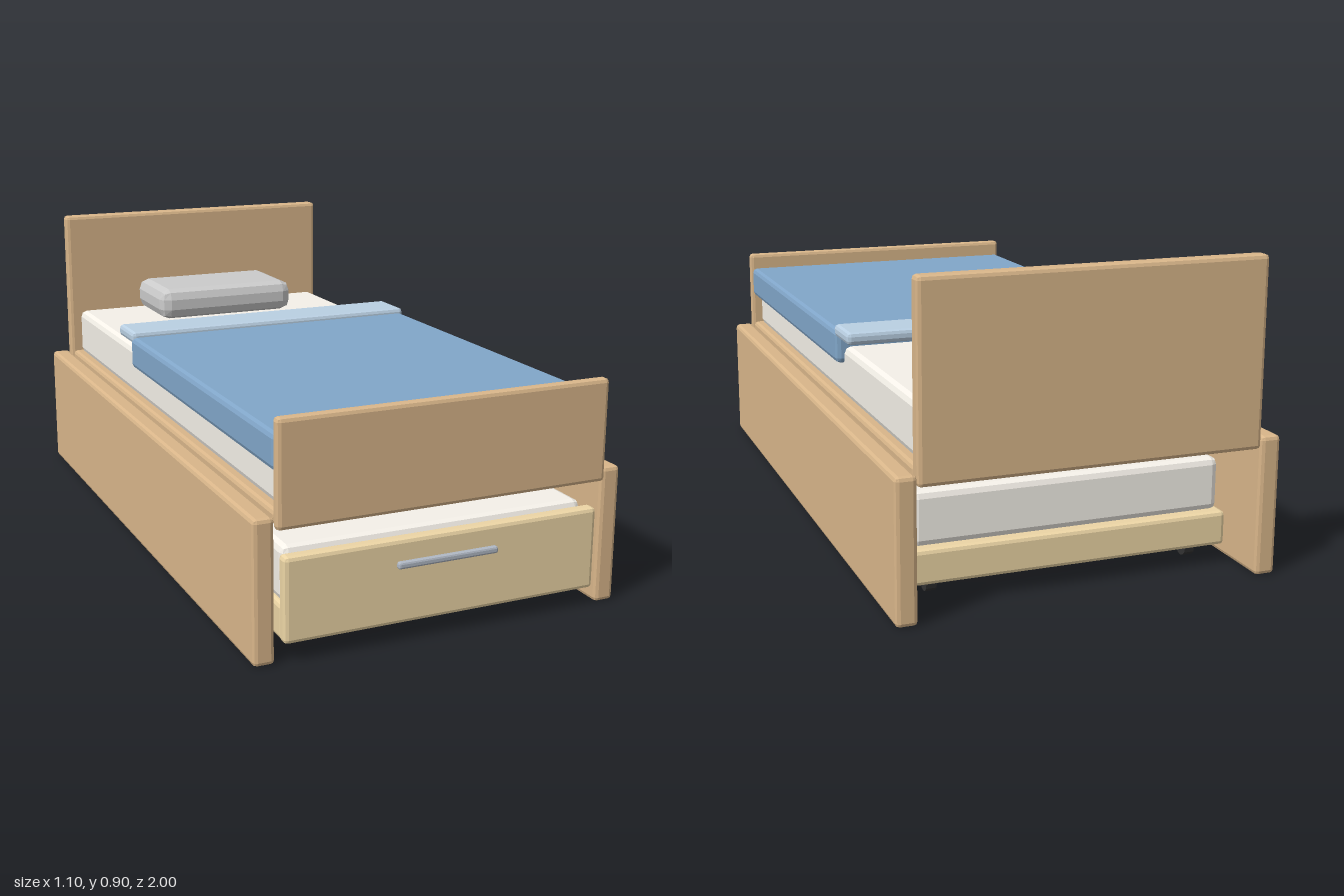
import * as THREE from 'three';
import { RoundedBoxGeometry } from 'three/addons/geometries/RoundedBoxGeometry.js';

const mat = (color) => new THREE.MeshStandardMaterial({ color, flatShading: true });

export function createModel() {
  const bed = new THREE.Group();
  bed.name = 'trundleBed';

  const wood = mat(0xd9b68a), paleWood = mat(0xecd5a5), cream = mat(0xf5f1e9);
  const grey = mat(0xcccccc), blue = mat(0x81a6c9), paleBlue = mat(0xbad0e3);
  const metal = mat(0xb0b8c4), rubber = mat(0x333333);

  // Softened box between two limits on each axis
  function slab(parent, name, material, [x0, x1], [y0, y1], [z0, z1], bevel = 0.012) {
    const geometry = new RoundedBoxGeometry(x1 - x0, y1 - y0, z1 - z0, 1, bevel);
    const mesh = new THREE.Mesh(geometry, material);
    mesh.name = name;
    mesh.position.set((x0 + x1) / 2, (y0 + y1) / 2, (z0 + z1) / 2);
    parent.add(mesh);
    return mesh;
  }

  // Frame
  const frame = new THREE.Group();
  frame.name = 'frame';
  bed.add(frame);
  slab(frame, 'headboard', wood, [-0.49, 0.49], [0.365, 0.9], [-1, -0.95]);
  slab(frame, 'footboard', wood, [-0.49, 0.49], [0.365, 0.66], [0.955, 0.99]);
  slab(frame, 'leftSidePanel', wood, [0.49, 0.55], [0, 0.4], [-1, 0.975]);
  slab(frame, 'rightSidePanel', wood, [-0.55, -0.49], [0, 0.4], [-1, 0.975]);
  slab(frame, 'deck', wood, [-0.485, 0.485], [0.37, 0.41], [-0.945, 0.955]);

  // Bedding
  const bedding = new THREE.Group();
  bedding.name = 'bedding';
  bed.add(bedding);
  slab(bedding, 'mattress', cream, [-0.46, 0.46], [0.405, 0.56], [-0.93, 0.94], 0.02);
  slab(bedding, 'blanket', blue, [-0.485, 0.485], [0.51, 0.61], [-0.225, 0.955], 0.015);
  slab(bedding, 'blanketFold', paleBlue, [-0.485, 0.485], [0.59, 0.627], [-0.35, -0.2], 0.012);
  slab(bedding, 'pillow', grey, [-0.25, 0.245], [0.565, 0.67], [-0.9, -0.605], 0.035);

  // Pull-out lower bed
  const trundle = new THREE.Group();
  trundle.name = 'trundle';
  bed.add(trundle);
  slab(trundle, 'trundleTray', paleWood, [-0.465, 0.465], [0.05, 0.15], [-0.87, 0.95]);
  slab(trundle, 'trundleFront', paleWood, [-0.47, 0.47], [0.053, 0.292], [0.945, 0.987]);
  slab(trundle, 'trundleMattress', cream, [-0.455, 0.455], [0.145, 0.3], [-0.84, 0.935], 0.02);
  slab(trundle, 'trundlePillow', grey, [-0.25, 0.25], [0.29, 0.362], [-0.8, -0.52], 0.03);
  slab(trundle, 'handle', metal, [-0.15, 0.15], [0.212, 0.232], [0.98, 1], 0.006);

  // Castors
  const wheelGeometry = new THREE.CylinderGeometry(0.027, 0.027, 0.03, 12).rotateZ(Math.PI / 2);
  for (const x of [-0.39, 0.39]) {
    for (const z of [-0.78, 0.78]) {
      const wheel = new THREE.Mesh(wheelGeometry, rubber);
      wheel.name = 'wheel';
      wheel.position.set(x, 0.027, z);
      trundle.add(wheel);
    }
  }
  return bed;
}
